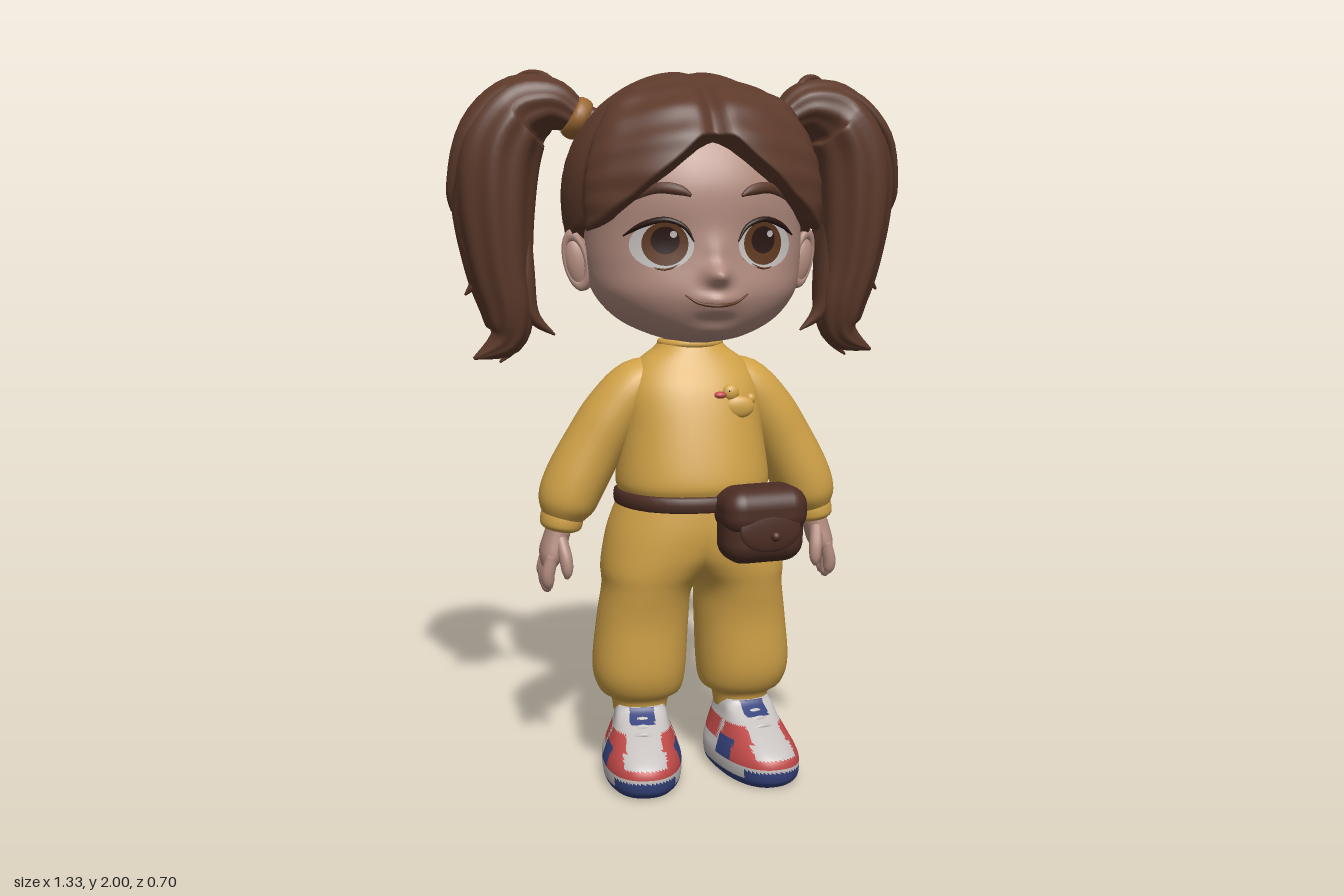
import * as THREE from 'three';
import { RoundedBoxGeometry } from 'three/addons/geometries/RoundedBoxGeometry.js';

const mat = (name, color) => Object.assign(new THREE.MeshStandardMaterial({ color }), { name });
const V = (x, y, z) => new THREE.Vector3(x, y, z);
const step = THREE.MathUtils.smoothstep;

// Catmull-Rom refinement of a short table of rows
function dense(rows, k) {
  const out = [], n = rows.length, at = i => rows[Math.max(0, Math.min(n - 1, i))];
  for (let i = 0; i < n - 1; i++) for (let s = 0; s < k; s++) {
    const t = s / k, [a, b, c, d] = [at(i - 1), at(i), at(i + 1), at(i + 2)];
    out.push(b.map((_, j) => b[j] + 0.5 * t * (c[j] - a[j] + t * (2 * a[j] - 5 * b[j] + 4 * c[j] - d[j] + t * (3 * (b[j] - c[j]) + d[j] - a[j])))));
  }
  out.push(rows[n - 1]);
  return out;
}

// Closed skin over a stack of rings, optionally split into material groups
function skin(rings, pick) {
  const n = rings[0].length, pts = rings.flat(), faces = [];
  const mid = r => r.reduce((s, p) => s.add(p), V(0, 0, 0)).divideScalar(n);
  const a = pts.push(mid(rings[0])) - 1, b = pts.push(mid(rings.at(-1))) - 1, last = (rings.length - 1) * n;
  for (let j = 0; j < n; j++) {
    const j2 = (j + 1) % n;
    faces.push([a, j2, j], [b, last + j, last + j2]);
    for (let i = 0; i < last; i += n) faces.push([i + j, i + j2, i + n + j], [i + j2, i + n + j2, i + n + j]);
  }
  const g = new THREE.BufferGeometry().setFromPoints(pts);
  if (pick) {
    const key = f => pick(f.reduce((s, i) => s.add(pts[i]), V(0, 0, 0)).divideScalar(3));
    const sets = [[], [], []];
    faces.forEach(f => sets[key(f)].push(...f));
    let start = 0;
    sets.forEach((s, i) => { g.addGroup(start, s.length, i); start += s.length; });
    g.setIndex(sets.flat());
  } else g.setIndex(faces.flat());
  g.computeVertexNormals();
  return g;
}

// Upright body: rows are [y, x, z, halfWidth, depthFront, depthBack]; bump pushes the front out
const pw = (v, p) => Math.sign(v) * Math.abs(v) ** (2 / p);
function loft(rows, { n = 40, k = 5, p = 2.2, pick, bump } = {}) {
  return skin(dense(rows, k).map(([y, x, z, w, f, b]) => Array.from({ length: n }, (_, j) => {
    const t = j / n * Math.PI * 2, c = Math.cos(t), px = x + w * pw(Math.sin(t), p);
    return V(px, y, z + (c > 0 ? f : b) * pw(c, p) + (bump && c > 0 ? bump(px, y) : 0));
  })), pick);
}
// Front surface depth of a loft at x, y
function zAt(rows, x, y, p = 2.2) {
  const d = dense(rows, 8);
  let i = 0;
  while (i < d.length - 2 && d[i + 1][0] < y) i++;
  const t = (y - d[i][0]) / (d[i + 1][0] - d[i][0]), r = d[i].map((v, j) => v + (d[i + 1][j] - v) * t);
  return r[2] + r[4] * Math.max(0, 1 - Math.abs((x - r[1]) / r[3]) ** p) ** (1 / p);
}
// Tapered limb: rows are [x, y, z, radiusAcross, radiusDepth]
function sweep(rows, { n = 16, k = 5, groove = 0, lobes = 8 } = {}) {
  const d = dense(rows, k), c = d.map(r => V(r[0], r[1], r[2]));
  return skin(d.map((r, i) => {
    const T = c[Math.min(i + 1, c.length - 1)].clone().sub(c[Math.max(i - 1, 0)]).normalize();
    const S = T.clone().cross(V(0, 0, 1)).normalize(), B = T.clone().cross(S);
    return Array.from({ length: n }, (_, j) => {
      const t = j / n * Math.PI * 2, m = 1 + groove * Math.cos(lobes * t);
      return c[i].clone().addScaledVector(S, r[3] * m * Math.cos(t)).addScaledVector(B, r[4] * m * Math.sin(t));
    });
  }));
}

const HEAD = [[1.245, 0, .06, .04, .06, .05], [1.265, 0, .05, .13, .165, .1], [1.31, 0, .03, .22, .235, .13], [1.38, 0, .01, .28, .285, .18],
  [1.46, 0, 0, .298, .292, .24], [1.55, 0, 0, .3, .29, .28], [1.68, 0, 0, .297, .288, .29], [1.8, 0, 0, .26, .235, .26], [1.9, 0, 0, .15, .14, .16]];
const TORSO = [[.79, 0, 0, .19, .17, .13], [.825, 0, 0, .212, .193, .148], [.87, 0, 0, .217, .2, .15], [1, 0, 0, .2, .17, .143],
  [1.11, 0, 0, .19, .135, .13], [1.18, 0, -.01, .155, .105, .112], [1.22, 0, -.015, .105, .09, .095], [1.245, 0, -.02, .083, .08, .08]];
// Each trouser leg widens upwards into the full waist, so the two halves merge
const LEG = [[.17, .15, -.02, .075, .08, .09], [.215, .15, -.02, .085, .09, .1], [.24, .15, -.02, .118, .125, .125], [.31, .153, -.015, .133, .145, .138],
  [.45, .143, -.01, .13, .148, .135], [.545, .132, 0, .128, .157, .143], [.6, .108, 0, .155, .172, .153], [.66, .062, 0, .194, .185, .16],
  [.73, .02, 0, .22, .192, .162], [.81, 0, 0, .208, .188, .147]];
const SHOE = [[0, 0, .04, .096, .21, .15], [.02, 0, .04, .11, .233, .165], [.06, 0, .04, .113, .238, .17], [.09, 0, .04, .105, .222, .17],
  [.125, 0, .04, .091, .165, .17], [.155, 0, .04, .08, .105, .165], [.185, 0, .04, .072, .045, .16], [.2, 0, .04, .062, .03, .15]];
// Hairline height by angle from the front
const LINE = [[0, 1.8], [8, 1.785], [20, 1.72], [36, 1.64], [50, 1.58], [60, 1.555], [72, 1.56], [83, 1.53], [97, 1.41], [120, 1.33], [180, 1.29]];
// Nose, bridge, lips, chin and eye sockets
const FEATURES = [[0, 1.437, .03, .028, .053], [0, 1.49, .028, .045, .012], [0, 1.372, .05, .022, .026], [0, 1.342, .045, .017, .018],
  [0, 1.285, .06, .03, .012], [.135, 1.52, .07, .06, -.012], [-.135, 1.52, .07, .06, -.012]];
const bump = (x, y) => FEATURES.reduce((s, [cx, cy, a, b, h]) => s + h * Math.exp(-(((x - cx) / a) ** 2) - ((y - cy) / b) ** 2), 0);
const faceZ = (x, y) => zAt(HEAD, x, y) + bump(x, y);

function hairCap() {
  const n = 200, m = 40, cy = 1.64, rings = [];
  for (let i = 0; i <= m; i++) rings.push(Array.from({ length: n }, (_, j) => {
    const t = j / n * Math.PI * 2, deg = Math.abs(((t * 180 / Math.PI + 180) % 360) - 180);
    const q = Math.max(1, LINE.findIndex(l => l[0] >= deg - 1e-9)), [a, ya] = LINE[q - 1], [b, yb] = LINE[q];
    const dy = ya + (yb - ya) * (deg - a) / (b - a) - cy;
    const phi = Math.acos(dy / (dy > 0 ? .345 : .4)) * (1 - Math.max(0, i - 1) / m);
    const x = Math.sin(phi) * Math.sin(t), y = Math.cos(phi), z = Math.sin(phi) * Math.cos(t);
    // bangs swell, centre parting and combed grooves
    let s = 1 + (.075 + .03 * Math.exp(-(((deg - 51) / 9) ** 2))) * (1 - step(deg, 57, 66)) * step(phi, .4, .9);
    s -= Math.exp(-((x / .07) ** 2)) * (.018 + .05 * step(z, .2, .8));
    s += .009 * Math.sin(24 * Math.atan2(z, y)) * Math.min(1, Math.hypot(y, z)) * Math.min(1, Math.abs(x) * 4);
    if (i === 0) s *= .86;
    return V(.355 * x * s, cy + (y > 0 ? .345 : .4) * y * s, -.06 + (z > 0 ? .385 : .297) * z * s);
  }));
  return skin(rings);
}

export function createModel() {
  const root = new THREE.Group();
  root.name = 'girl';
  const skinTone = mat('skin', 0xb38c7f), hair = mat('hair brown', 0x5d3a2b), yellow = mat('mustard cloth', 0xd2a348),
    leather = mat('dark leather', 0x4c2d24), white = mat('off white', 0xc6c1bf), red = mat('red', 0xc04a48),
    navy = mat('navy', 0x35427c), orange = mat('hair tie orange', 0x9c6733), iris = mat('iris brown', 0x5f381f), dark = mat('dark brown', 0x2a1813);
  const add = (name, geo, material, parent = root) => {
    const m = new THREE.Mesh(geo, material);
    m.name = name;
    parent.add(m);
    return m;
  };
  const ball = (name, m, x, y, z, a, b, c) => add(name, new THREE.SphereGeometry(1, 24, 16).scale(a, b, c).translate(x, y, z), m);
  // Thin disc and thin line laid on the face
  const decal = (name, m, x, y, a, b, off) => {
    const g = new THREE.RingGeometry(.001, 1, 28, 4).scale(a, b, 1).translate(x, y, 0), P = g.attributes.position;
    for (let i = 0; i < P.count; i++) P.setZ(i, faceZ(P.getX(i), P.getY(i)) + off);
    g.computeVertexNormals();
    return add(name, g, m);
  };
  const line = (name, m, pts) => add(name, sweep(pts.map(([x, y, r]) => [x, y, faceZ(x, y) + .003, r, Math.min(r, .009)]), { n: 10, k: 4 }), m);

  // Head and face
  add('head', loft(HEAD, { n: 200, k: 10, bump }), skinTone);
  add('neck', loft([[1.18, 0, -.02, .085, .085, .085], [1.25, 0, -.02, .077, .077, .08], [1.36, 0, -.02, .09, .09, .11]]), skinTone);
  line('mouth', iris, [[-.085, 1.388, .002], [-.05, 1.366, .004], [0, 1.36, .005], [.05, 1.366, .004], [.085, 1.388, .002]]);
  add('hair', hairCap(), hair);

  // Clothes on the trunk
  add('sweater', loft(TORSO), yellow);
  add('collar', new THREE.TorusGeometry(.083, .011, 10, 32).rotateX(Math.PI / 2).translate(0, 1.235, -.018), yellow);
  add('belt', loft([[.782, 0, 0, .205, .19, .145], [.787, 0, 0, .222, .205, .16], [.822, 0, 0, .222, .205, .16], [.827, 0, 0, .205, .19, .145]], { k: 2 }), leather);

  // Belt pouch
  const pouch = new THREE.Group();
  pouch.name = 'pouch';
  pouch.position.set(.145, .75, .208);
  pouch.rotation.y = .12;
  root.add(pouch);
  add('pouchBody', new RoundedBoxGeometry(.235, .19, .15, 5, .06).translate(0, -.01, 0), leather, pouch);
  add('pouchFlap', new RoundedBoxGeometry(.245, .13, .168, 5, .055).translate(0, .042, .003), leather, pouch);
  add('pouchTongue', new THREE.SphereGeometry(1, 24, 12).scale(.09, .06, .012).translate(0, -.005, .078), leather, pouch);
  add('pouchButton', new THREE.SphereGeometry(.014, 16, 10).translate(.01, -.02, .09), leather, pouch);

  // Duck patch on the chest
  const duck = (name, m, x, y, a, b, c) => ball(name, m, x, y, zAt(TORSO, x, y), a, b, c);
  duck('duckBody', yellow, .105, 1.065, .043, .031, .015);
  duck('duckHead', yellow, .082, 1.105, .024, .023, .016);
  duck('duckTail', yellow, .145, 1.083, .014, .016, .012);
  duck('duckBill', red, .05, 1.1, .018, .01, .012);
  duck('duckWing', orange, .112, 1.067, .014, .006, .018);
  duck('duckEye', dark, .075, 1.111, .004, .004, .018);

  for (const s of [1, -1]) {
    const side = s > 0 ? 'left' : 'right', at = rows => rows.map(([x, ...r]) => [x * s, ...r]);
    const nm = p => side + p;
    // Eyes and brows
    decal(nm('EyeWhite'), white, .14 * s, 1.516, .08, .062, .005);
    decal(nm('Iris'), iris, .133 * s, 1.52, .058, .057, .008);
    decal(nm('Pupil'), dark, .133 * s, 1.529, .036, .036, .01);
    decal(nm('EyeGlint'), white, .133 * s + .02, 1.545, .009, .009, .012);
    line(nm('UpperLash'), dark, at([[.06, 1.525, .002], [.085, 1.565, .006], [.135, 1.583, .008], [.19, 1.568, .008], [.232, 1.54, .002]]));
    line(nm('LowerLash'), iris, at([[.075, 1.48, .001], [.135, 1.453, .003], [.195, 1.475, .001]]));
    line(nm('Brow'), hair, at([[.068, 1.645, .004], [.1, 1.66, .014], [.155, 1.664, .014], [.215, 1.632, .003]]));
    // Ears, tilted outwards at the top
    add(nm('Ear'), new THREE.SphereGeometry(1, 24, 16).scale(.04, .08, .032).rotateZ(-.2 * s).translate(.315 * s, 1.462, -.018), skinTone);
    add(nm('EarRim'), new THREE.TorusGeometry(.05, .012, 10, 28).scale(.62, 1.4, 1).rotateY(.5 * s).rotateZ(-.2 * s).translate(.325 * s, 1.468, -.004), skinTone);

    // Ponytails
    add(nm('HairTie'), new THREE.TorusGeometry(.05, .012, 12, 28).scale(1.15, 1, 1.9).rotateY(Math.PI / 2).rotateZ(.5 * s).translate(.3 * s, 1.858, -.125), orange);
    add(nm('Ponytail'), sweep(at([[.22, 1.82, -.11, .05, .06], [.3, 1.86, -.125, .047, .054], [.37, 1.893, -.145, .075, .09], [.45, 1.872, -.18, .105, .14], [.515, 1.775, -.185, .122, .148],
      [.53, 1.62, -.19, .115, .145], [.518, 1.45, -.19, .095, .125], [.495, 1.32, -.185, .075, .097], [.505, 1.235, -.18, .05, .06], [.595, 1.185, -.175, .004, .006]]), { n: 64, groove: .035, lobes: 9 }), hair);
    const locks = [
      [[.33, 1.89, -.13, .006, .008], [.37, 1.965, -.17, .012, .016], [.42, 1.985, -.22, .011, .014], [.47, 1.968, -.25, .003, .003]],
      [[.36, 1.92, -.12, .01, .02], [.5, 1.93, -.13, .02, .04], [.61, 1.82, -.14, .022, .05], [.65, 1.67, -.16, .014, .03], [.648, 1.6, -.17, .003, .003]],
      [[.6, 1.68, -.19, .02, .05], [.6, 1.52, -.19, .03, .065], [.578, 1.42, -.19, .022, .045], [.615, 1.365, -.19, .003, .003]],
      [[.45, 1.62, -.17, .02, .05], [.45, 1.43, -.17, .032, .06], [.43, 1.31, -.16, .022, .035], [.365, 1.25, -.15, .003, .003]],
      [[.49, 1.4, -.19, .04, .06], [.475, 1.27, -.19, .035, .04], [.48, 1.215, -.19, .018, .02], [.52, 1.17, -.19, .003, .003]]];
    locks.forEach(l => add(nm('HairLock'), sweep(at(l), { n: 12 }), hair));

    // Sleeves and hands
    add(nm('Sleeve'), sweep(at([[.06, 1.155, -.015, .04, .055], [.15, 1.12, -.02, .072, .087], [.22, 1.04, -.026, .083, .095], [.275, .95, -.033, .086, .097], [.328, .85, -.04, .088, .103],
      [.355, .785, -.04, .082, .097], [.367, .745, -.04, .06, .072]]), { n: 28 }), yellow);
    add(nm('Cuff'), sweep(at([[.363, .762, -.04, .05, .06], [.366, .752, -.04, .06, .073], [.372, .72, -.04, .059, .072], [.374, .708, -.04, .045, .055]]), { n: 28 }), yellow);
    add(nm('Palm'), sweep(at([[.373, .73, -.04, .034, .045], [.384, .69, -.04, .036, .052], [.4, .64, -.045, .034, .066], [.41, .605, -.05, .02, .058]]), { n: 20 }), skinTone);
    [0, 1, 2, 3].forEach(i => {
      const z = .002 - i * .034, y = [.545, .53, .533, .555][i];
      add(nm('Finger'), sweep(at([[.402, .64, z, .018, .018], [.415, .59, z, .019, .019], [.414, y + .015, z - .003, .016, .016], [.408, y, z - .003, .006, .006]]), { n: 12 }), skinTone);
    });
    add(nm('Thumb'), sweep(at([[.378, .69, -.01, .018, .02], [.368, .64, .018, .019, .02], [.364, .6, .026, .016, .017], [.366, .578, .026, .006, .006]]), { n: 12 }), skinTone);

    // Trouser legs and shoes
    add(nm('TrouserLeg'), loft(LEG.map(([y, x, ...r]) => [y, x * s, ...r]), { n: 56 }), yellow);
    const shoe = new THREE.Group();
    shoe.name = nm('Shoe');
    shoe.position.set(.152 * s, 0, 0);
    shoe.rotation.y = .14 * s;
    root.add(shoe);
    // 0 white, 1 red, 2 navy
    const pick = ({ x, y, z }) => {
      const w = Math.abs(x);
      if (y < (z > .22 ? .05 : .025)) return 2;
      if (y < .06) return z < -.07 && y < .04 ? 2 : 0;
      if (y < .112) {
        if (z > .15) return w < .06 && y > .083 ? 0 : 1;
        return z > .07 ? 2 : z < .05 && y > .095 ? 1 : 0;
      }
      if (y < .148) return z < .05 || (w > .05 && z > .07) ? 1 : 0;
      return y > .165 && z > .06 && w < .035 ? 2 : 0;
    };
    add('shoeShell', loft(SHOE, { n: 72, k: 6, p: 2.4, pick }), [white, red, navy], shoe);
    [.09, .12, .15].forEach(z => {
      const y = .187 - (z - .05) * .42;
      add('lace', sweep([[-.045, y - .012, z, .006, .006], [0, y + .004, z + .006, .008, .008], [.045, y - .012, z, .006, .006]], { n: 8 }), white, shoe);
    });
  }
  return root;
}
